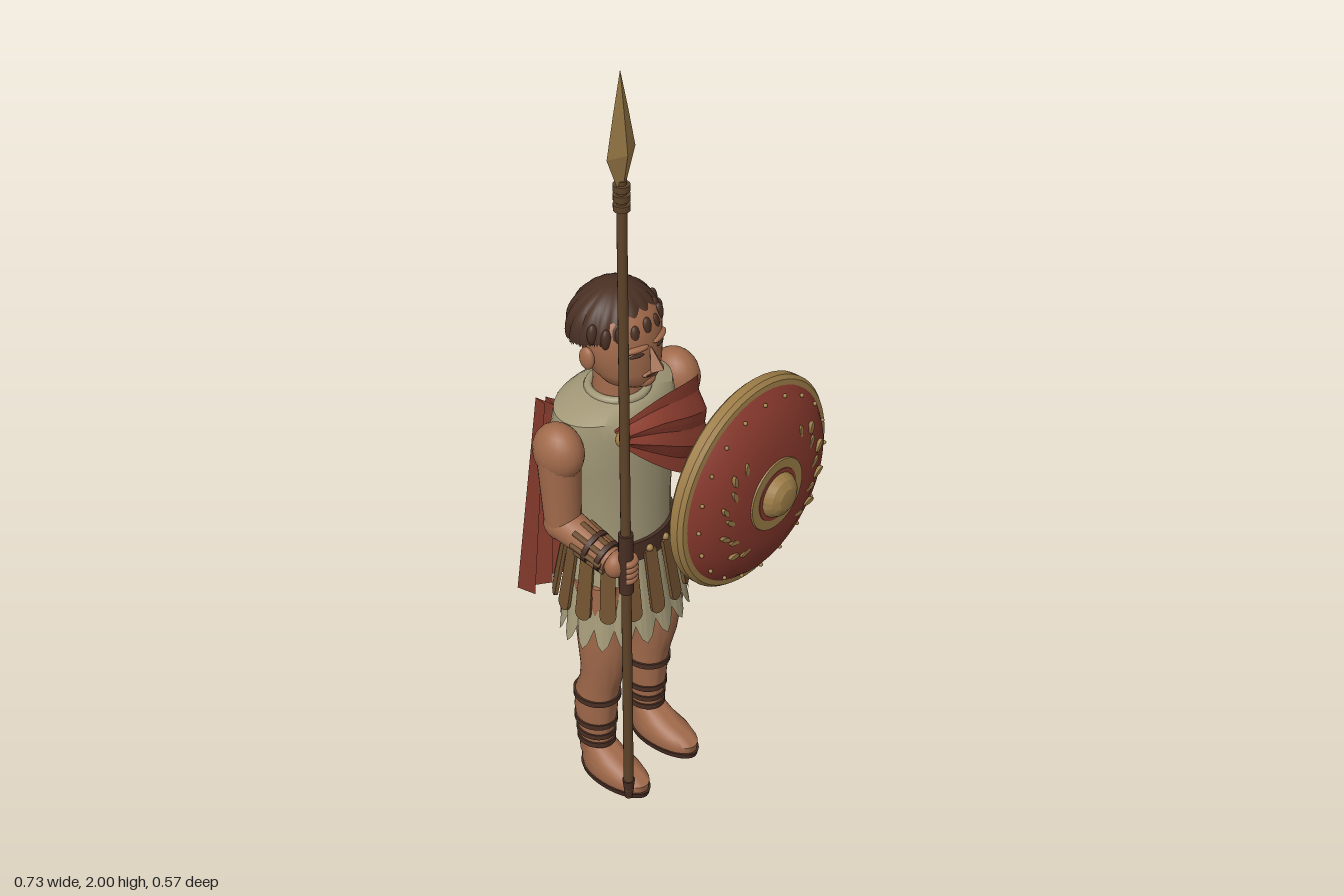
import * as THREE from 'three';
import { toCreasedNormals } from 'three/addons/utils/BufferGeometryUtils.js';

const mat = (name, color, side = THREE.FrontSide) => {
  const m = new THREE.MeshStandardMaterial({ color, side });
  m.name = name;
  return m;
};
const V = (x, y, z) => new THREE.Vector3(x, y, z);
const CX = -0.12; // body axis

export function createModel() {
  const root = new THREE.Group();
  root.name = 'spearman';
  const skin = mat('skin', 0xa16a4b), cloth = mat('linen', 0xa39978, THREE.DoubleSide);
  const red = mat('red cloth', 0x8a3c2e, THREE.DoubleSide), hairMat = mat('hair', 0x4a3024);
  const gold = mat('bronze', 0x9c7c47), leather = mat('leather', 0x70502f);
  const dark = mat('dark leather', 0x482e23), wood = mat('wood', 0x5e4329);
  const paint = mat('shield red', 0x86382c);

  const add = (name, geo, m, p = [0, 0, 0], parent = root) => {
    const mesh = new THREE.Mesh(geo, m);
    mesh.name = name;
    mesh.position.set(...p);
    parent.add(mesh);
    return mesh;
  };
  const ball = (name, m, p, rx, ry = rx, rz = rx, parent = root) => {
    const b = add(name, new THREE.SphereGeometry(1, 20, 14), m, p, parent);
    b.scale.set(rx, ry, rz);
    return b;
  };
  const rod = (name, m, a, b, ra, rb, parent = root, seg = 18) => {
    const d = b.clone().sub(a);
    const r = add(name, new THREE.CylinderGeometry(rb, ra, d.length(), seg), m, [0, 0, 0], parent);
    r.position.copy(a).addScaledVector(d, 0.5);
    r.quaternion.setFromUnitVectors(V(0, 1, 0), d.normalize());
    return r;
  };
  const flat = (geo) => {
    const g = geo.index ? geo.toNonIndexed() : geo;
    g.computeVertexNormals();
    return g;
  };
  // skin of stacked ellipses, rows are [y, centre z, radius x, radius z]
  const loft = (rows, { n = 32, mod = () => [1, 0], caps = true } = {}) => {
    const pos = [], idx = [];
    rows.forEach(([y, cz, rx, rz], j) => {
      for (let i = 0; i < n; i++) {
        const a = i / n * Math.PI * 2, [k, dy] = mod(a, j / (rows.length - 1), i);
        pos.push(Math.sin(a) * rx * k, y + dy, cz + Math.cos(a) * rz * k);
      }
    });
    for (let j = 0; j < rows.length - 1; j++) for (let i = 0; i < n; i++) {
      const a = j * n + i, b = j * n + (i + 1) % n;
      idx.push(a, b, a + n, b + n, a + n, b);
    }
    if (caps) {
      const last = rows.length - 1, c = rows.length * n;
      pos.push(0, rows[0][0], rows[0][1], 0, rows[last][0], rows[last][1]);
      for (let i = 0; i < n; i++) {
        const k = (i + 1) % n;
        idx.push(c, k, i, c + 1, last * n + i, last * n + k);
      }
    }
    const g = new THREE.BufferGeometry();
    g.setAttribute('position', new THREE.Float32BufferAttribute(pos, 3));
    g.setIndex(idx);
    return toCreasedNormals(g, 0.75);
  };
  // open grid of cloth, f(u, v) gives a point
  const sheet = (nu, nv, f) => {
    const pos = [], idx = [], w = nu + 1;
    for (let j = 0; j <= nv; j++) for (let i = 0; i <= nu; i++) pos.push(...f(i / nu, j / nv, i).toArray());
    for (let j = 0; j < nv; j++) for (let i = 0; i < nu; i++) {
      const a = j * w + i;
      idx.push(a, a + w, a + 1, a + 1, a + w, a + w + 1);
    }
    const g = new THREE.BufferGeometry();
    g.setAttribute('position', new THREE.Float32BufferAttribute(pos, 3));
    g.setIndex(idx);
    return flat(g);
  };

  // legs, sandals and straps
  for (const x of [-0.21, -0.03]) {
    const leg = new THREE.Group();
    leg.name = 'leg';
    leg.position.x = x;
    root.add(leg);
    add('sole', loft([[0, 0.02, 0.046, 0.1], [0.016, 0.02, 0.05, 0.104]]), dark, [0, 0, 0], leg);
    add('foot', loft([[0.014, 0.02, 0.046, 0.098], [0.035, 0.02, 0.05, 0.1], [0.052, 0.01, 0.047, 0.09],
      [0.068, -0.012, 0.042, 0.065], [0.1, -0.04, 0.036, 0.044]]), skin, [0, 0, 0], leg);
    add('shin and thigh', loft([[0.06, -0.04, 0.036, 0.044], [0.13, -0.04, 0.04, 0.046], [0.2, -0.04, 0.047, 0.055],
      [0.26, -0.034, 0.049, 0.055], [0.3, -0.022, 0.048, 0.052], [0.35, -0.012, 0.053, 0.056],
      [0.45, -0.008, 0.06, 0.07], [0.62, -0.02, 0.062, 0.075]]), skin, [0, 0, 0], leg);
    for (const [y, cz, rx, rz] of [[0.25, -0.035, 0.054, 0.06], [0.17, -0.04, 0.049, 0.055],
      [0.135, -0.04, 0.045, 0.051], [0.108, -0.04, 0.043, 0.05]])
      add('legStrap', loft([[y - 0.007, cz, rx, rz], [y + 0.007, cz, rx, rz]]), dark, [0, 0, 0], leg);
  }

  // tunic and pleated skirt
  add('tunic', loft([[0.68, -0.035, 0.128, 0.105], [0.8, -0.038, 0.133, 0.106], [0.93, -0.045, 0.152, 0.113],
    [1.02, -0.05, 0.166, 0.114], [1.065, -0.05, 0.16, 0.105], [1.085, -0.045, 0.11, 0.085], [1.092, -0.04, 0.06, 0.06]],
  { n: 40 }), cloth, [CX, 0, 0]);
  add('collar', new THREE.TorusGeometry(0.066, 0.01, 8, 32).rotateX(Math.PI / 2), cloth, [CX, 1.09, -0.037]);
  add('skirt', flat(loft([[0.48, -0.024, 0.17, 0.128], [0.58, -0.03, 0.152, 0.118], [0.71, -0.035, 0.13, 0.107]],
    { n: 72, caps: false, mod: (a, t, i) => {
      const w = [1, 0.4, -1, 0.4][i % 4], s = 1 - t;
      return [1 + 0.045 * w * s, t === 0 ? -0.026 * w : 0];
    } })), cloth, [CX, 0, 0]);

  // belt, studs and hanging leather strips
  add('belt', loft([[0.68, -0.035, 0.139, 0.115], [0.73, -0.035, 0.137, 0.113]], { n: 40 }), dark, [CX, 0, 0]);
  const strip = new THREE.Shape();
  strip.moveTo(-0.016, 0).lineTo(-0.019, -0.15);
  strip.absarc(0, -0.15, 0.019, Math.PI, Math.PI * 2, false);
  strip.lineTo(0.016, 0);
  const stripGeo = new THREE.ExtrudeGeometry(strip, { depth: 0.008, bevelEnabled: false, curveSegments: 6 });
  for (let i = 0; i < 16; i++) {
    const a = (i + 0.5) / 16 * Math.PI * 2, s = Math.sin(a), c = Math.cos(a);
    ball('beltStud', gold, [CX + s * 0.139, 0.705, -0.035 + c * 0.115], 0.009);
    const p = add('skirtStrip', stripGeo, leather, [CX + s * 0.135, 0.7, -0.035 + c * 0.112]);
    p.rotation.set(-0.18, Math.atan2(s / 0.135, c / 0.112), 0, 'YXZ');
  }

  // head
  add('neck', new THREE.CylinderGeometry(0.054, 0.06, 0.11, 24), skin, [CX, 1.115, -0.035]);
  add('head', loft([[1.128, 0.005, 0.04, 0.045], [1.142, -0.002, 0.066, 0.062], [1.17, -0.014, 0.084, 0.077],
    [1.21, -0.022, 0.094, 0.084], [1.26, -0.028, 0.098, 0.087], [1.3, -0.035, 0.085, 0.08],
    [1.33, -0.04, 0.05, 0.05]]), skin, [CX, 0, 0]);
  const nose = add('nose', flat(new THREE.ConeGeometry(0.021, 0.06, 4)), skin, [CX, 1.208, 0.068]);
  nose.rotation.x = -0.35;
  ball('lips', skin, [CX, 1.166, 0.058], 0.026, 0.009, 0.012);
  ball('mouthLine', dark, [CX, 1.167, 0.067], 0.022, 0.002, 0.004);
  ball('chin', skin, [CX, 1.142, 0.046], 0.026, 0.016, 0.018);
  for (const s of [-1, 1]) {
    ball('ear', skin, [CX + s * 0.1, 1.21, -0.035], 0.012, 0.028, 0.02);
    const brow = ball('brow', skin, [CX + s * 0.038, 1.238, 0.05], 0.032, 0.008, 0.012);
    brow.rotation.y = s * 0.35;
    const eye = ball('eye', dark, [CX + s * 0.038, 1.222, 0.054], 0.018, 0.004, 0.004);
    eye.rotation.y = s * 0.35;
  }

  // hair: lobed, swirling cap that hangs lower at the back
  const hair = new THREE.SphereGeometry(1, 96, 20), hp = hair.attributes.position;
  for (let i = 0; i < hp.count; i++) {
    const v = V(0, 0, 0).fromBufferAttribute(hp, i), a = Math.atan2(v.x, v.z);
    const t = Math.acos(THREE.MathUtils.clamp(v.y, -1, 1)) / Math.PI;
    const th = t * (1.68 - 0.3 * Math.cos(a)), k = 1 + 0.04 * Math.sin(th) * (Math.abs(Math.cos(8 * a + 2.5 * t)) * 2 - 1);
    hp.setXYZ(i, Math.sin(a) * Math.sin(th) * 0.108 * k, Math.cos(th) * 0.105, Math.cos(a) * Math.sin(th) * 0.097 * k);
  }
  hair.computeVertexNormals();
  hairMat.side = THREE.DoubleSide;
  add('hair', hair, hairMat, [CX, 1.25, -0.047]);
  for (let i = -4; i <= 4; i++) {
    const a = i * 0.33;
    ball('fringeLock', hairMat, [CX + Math.sin(a) * 0.1, 1.275 - 0.008 * (i & 1), -0.043 + Math.cos(a) * 0.09], 0.013, 0.025, 0.011);
  }

  // arms with bracers
  for (const x of [-0.315, 0.075]) {
    const arm = new THREE.Group();
    arm.name = 'arm';
    arm.position.x = x;
    root.add(arm);
    const elbow = V(0, 0.825, -0.03), wrist = V(0, 0.79, 0.115);
    ball('shoulder', skin, [0, 1.015, -0.037], 0.051, 0.068, 0.063, arm);
    rod('upperArm', skin, V(0, 1.01, -0.037), elbow, 0.05, 0.042, arm);
    ball('elbow', skin, elbow.toArray(), 0.043, 0.045, 0.045, arm);
    rod('forearm', skin, elbow, wrist, 0.043, 0.031, arm);
    const at = (t) => elbow.clone().lerp(wrist, t);
    rod('bracerBand', dark, at(0.62), at(0.7), 0.042, 0.041, arm);
    rod('bracerBand', dark, at(0.86), at(0.94), 0.039, 0.038, arm);
    for (let i = 0; i < 8; i++) {
      const a = i / 8 * Math.PI * 2, o = V(Math.cos(a), Math.sin(a), 0);
      rod('bracerStrip', leather, at(0.4).addScaledVector(o, 0.037), at(0.97).addScaledVector(o, 0.032), 0.007, 0.007, arm, 6);
    }
    ball('hand', skin, [0, 0.787, 0.128], 0.031, 0.033, 0.026, arm);
    for (let i = 0; i < 4; i++) {
      const y = 0.764 + i * 0.015;
      const f = add('finger', new THREE.TorusGeometry(0.021, 0.008, 8, 14, 4.4), skin, [0.004, y, x < 0 ? 0.152 : 0.138], arm);
      f.rotation.set(Math.PI / 2, 0, -2);
    }
  }

  // spear
  const spear = new THREE.Group();
  spear.name = 'spear';
  spear.position.set(-0.31, 0, 0.152);
  root.add(spear);
  rod('shaft', wood, V(0, 0.12, 0), V(0, 1.76, 0), 0.012, 0.011, spear, 12);
  rod('grip', dark, V(0, 0.72, 0), V(0, 0.88, 0), 0.017, 0.017, spear, 12);
  rod('butt', dark, V(0, 0.095, 0), V(0, 0.15, 0), 0.009, 0.015, spear, 12);
  for (const y of [1.7, 1.722, 1.744]) rod('collarRing', wood, V(0, y - 0.007, 0), V(0, y + 0.007, 0), 0.018, 0.018, spear, 12);
  const blade = flat(new THREE.LatheGeometry([[0, 1.75], [0.014, 1.75], [0.042, 1.82], [0.022, 1.91], [0, 2]]
    .map(p => new THREE.Vector2(...p)), 4));
  add('blade', blade, gold, [0, 0, 0], spear).scale.z = 0.42;

  // shield, turned so that its axis points forward
  const shield = new THREE.Group();
  shield.name = 'shield';
  shield.position.set(0.098, 0.8, 0);
  root.add(shield);
  const turned = (name, m, pts) => add(name, toCreasedNormals(
    new THREE.LatheGeometry(pts.map(p => new THREE.Vector2(...p)), 56).rotateX(Math.PI / 2), 0.4), m, [0, 0, 0], shield);
  turned('rim', gold, [[0.24, 0.15], [0.257, 0.147], [0.264, 0.154], [0.264, 0.175], [0.256, 0.185], [0.236, 0.188], [0.24, 0.15]]);
  turned('face', paint, [[0.25, 0.18], [0.22, 0.21], [0.17, 0.232], [0.12, 0.245], [0, 0.245]]);
  turned('back', dark, [[0, 0.225], [0.12, 0.222], [0.21, 0.19], [0.245, 0.152]]);
  turned('centrePlate', gold, [[0.092, 0.243], [0.09, 0.249], [0.064, 0.249]]);
  turned('centreField', paint, [[0.068, 0.244], [0.066, 0.2505], [0, 0.2505]]);
  turned('boss', gold, [[0.056, 0.245], [0.055, 0.256], [0.046, 0.27], [0.028, 0.281], [0, 0.285]]);
  for (let i = 0; i < 20; i++) {
    const a = i / 20 * Math.PI * 2;
    ball('rimStud', gold, [Math.cos(a) * 0.227, Math.sin(a) * 0.227, 0.207], 0.005, 0.005, 0.005, shield);
  }
  const leafGeo = new THREE.CylinderGeometry(1, 1, 1, 8).rotateX(Math.PI / 2);
  for (const s of [-1, 1]) for (let i = -4; i <= 4; i++) {
    const a = i * 0.22, r = i % 2 ? 0.172 : 0.152;
    const leaf = add('leaf', leafGeo, gold, [s * Math.cos(a) * r, Math.sin(a) * r, 0.235], shield);
    leaf.scale.set(0.017, 0.006, 0.009);
    leaf.rotation.z = s * (a + 0.75);
  }
  add('handle', new THREE.BoxGeometry(0.165, 0.03, 0.016), dark, [0, 0, 0.138], shield);
  for (const x of [-0.07, 0.07]) add('handleMount', new THREE.BoxGeometry(0.02, 0.03, 0.085), leather, [x, 0, 0.182], shield);

  // pleated cloak down the back
  add('cloak', sheet(14, 6, (u, v, i) => {
    const peak = i % 2, e = (2 * u - 1) ** 2;
    const top = V(-0.27 + 0.35 * u, 1.0 + 0.08 * e, -0.162 + 0.045 * e - 0.04 * peak);
    const hem = V(-0.24 + 0.405 * u, 0.475 - 0.045 * peak, peak ? -0.287 + 0.06 * u ** 3 : -0.2 + 0.05 * u * u);
    return top.lerp(hem, v);
  }), red);

  // drape across the chest, gathered at a clasp
  const upper = new THREE.CatmullRomCurve3([V(-0.225, 1.06, 0.04), V(-0.1, 1.088, 0.062), V(0.0, 1.075, 0.055), V(0.08, 1.04, 0.02), V(0.11, 0.97, -0.06)]);
  const lower = new THREE.CatmullRomCurve3([V(-0.225, 1.025, 0.055), V(-0.15, 0.95, 0.088), V(-0.06, 0.88, 0.1), V(0.03, 0.84, 0.085), V(0.115, 0.81, 0.01)]);
  add('chestDrape', sheet(24, 12, (u, v) => {
    const p = upper.getPoint(u).lerp(lower.getPoint(u), v);
    p.z += 0.022 * Math.sin(v * Math.PI) + 0.006 * Math.cos(v * Math.PI * 6);
    return p;
  }), red);
  ball('clasp', gold, [-0.215, 1.04, 0.062], 0.02, 0.02, 0.014);

  return root;
}
